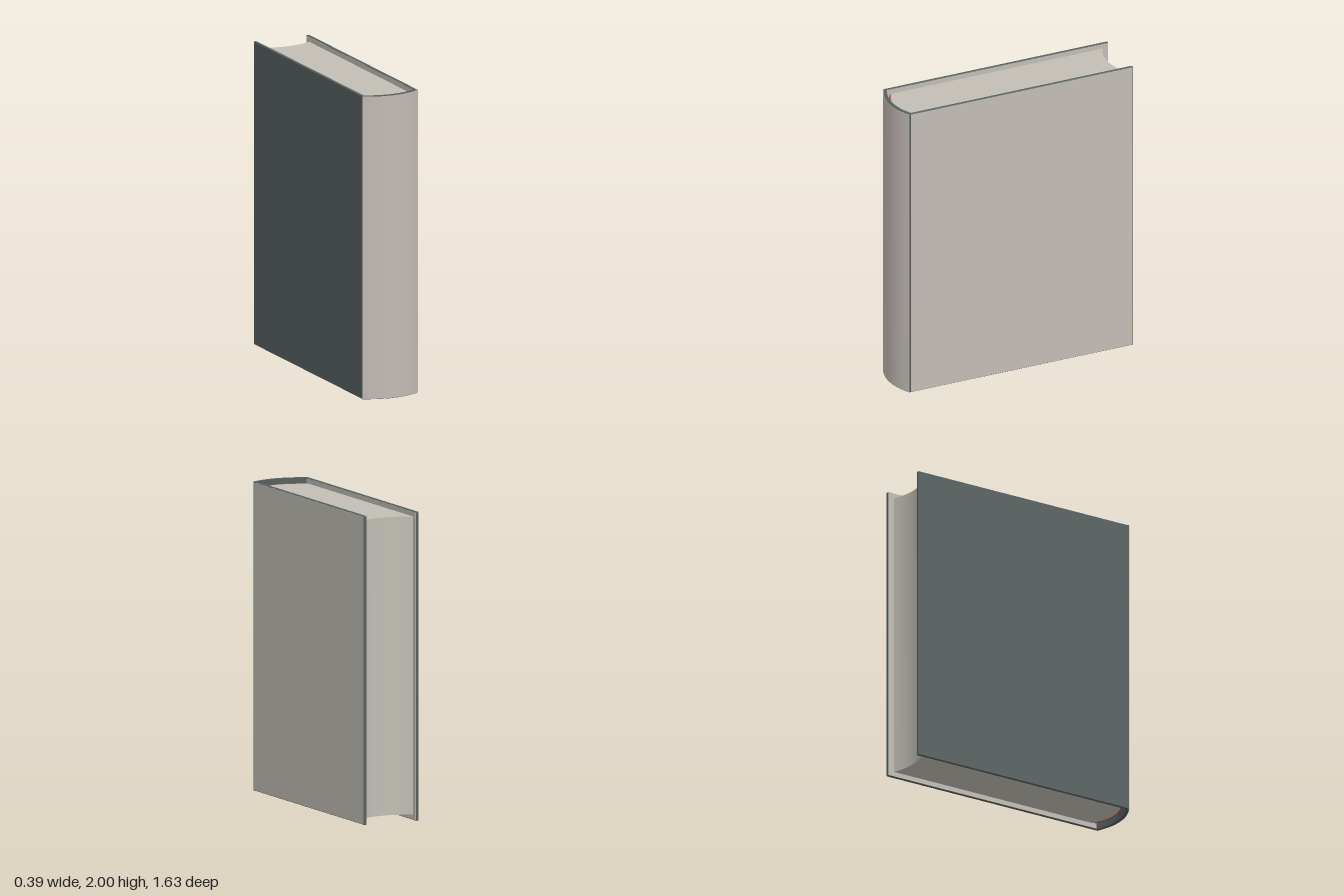
import * as THREE from 'three';
import { toCreasedNormals } from 'three/addons/utils/BufferGeometryUtils.js';
import { RoundedBoxGeometry } from 'three/addons/geometries/RoundedBoxGeometry.js';

const material = (name, color) => {
  const m = new THREE.MeshStandardMaterial({ color });
  m.name = name;
  return m;
};

export function createModel() {
  const paper = material('paper', 0xc2beb5);
  const spineCloth = material('spineCloth', 0xc3bab4);
  const slate = material('slate', 0x56615f);
  const red = material('red', 0xa85a55);

  const book = new THREE.Group();
  book.name = 'book';

  const add = (name, geometry, mat, x = 0, y = 0, z = 0) => {
    const mesh = new THREE.Mesh(geometry, mat);
    mesh.name = name;
    mesh.position.set(x, y, z);
    book.add(mesh);
    return mesh;
  };

  // Plan outline between two bowed edges, each { w: half width, end: z at sides, mid: z at centre }
  const bowed = (back, front, y0, y1) => {
    const s = new THREE.Shape();
    s.moveTo(-back.w, back.end);
    s.quadraticCurveTo(0, 2 * back.mid - back.end, back.w, back.end);
    s.lineTo(front.w, front.end);
    s.quadraticCurveTo(0, 2 * front.mid - front.end, -front.w, front.end);
    const g = new THREE.ExtrudeGeometry(s, { depth: y1 - y0, bevelEnabled: false, curveSegments: 20 });
    g.rotateX(Math.PI / 2).translate(0, y1, 0);
    return toCreasedNormals(g, 0.5);
  };

  const recess = 0.035;

  // Page block: hollow fore edge, rounded spine edge
  add('pageBlock', bowed(
    { w: 0.176, end: -0.775, mid: -0.73 },
    { w: 0.176, end: 0.712, mid: 0.77 }, recess, 2 - recess), paper);

  // Red band behind the pages
  add('headband', bowed(
    { w: 0.168, end: 0.717, mid: 0.769 },
    { w: 0.168, end: 0.73, mid: 0.784 }, recess, 2 - recess), red);

  // Rounded spine with its pale outer cloth
  add('spine', bowed(
    { w: 0.182, end: 0.741, mid: 0.789 },
    { w: 0.196, end: 0.758, mid: 0.813 }, 0, 2), slate);
  add('spineCloth', bowed(
    { w: 0.196, end: 0.758, mid: 0.813 },
    { w: 0.197, end: 0.761, mid: 0.816 }, 0.003, 1.997), spineCloth);

  // Cover boards, lined with paper inside; the left board is also pale outside
  const zBack = -0.819, zFront = 0.753;
  const depth = zFront - zBack, zMid = (zFront + zBack) / 2;
  for (const [side, sign] of [['left', 1], ['right', -1]]) {
    add(side + 'Cover', new RoundedBoxGeometry(0.02, 2, depth, 3, 0.005), slate, sign * 0.187, 1, zMid);
    const plate = new THREE.BoxGeometry(0.002, 1.992, depth - 0.008);
    add(side + 'Endpaper', plate, paper, sign * 0.1768, 1, zMid);
    if (sign > 0) add(side + 'CoverFace', plate, paper, sign * 0.1968, 1, zMid);
  }
  return book;
}
